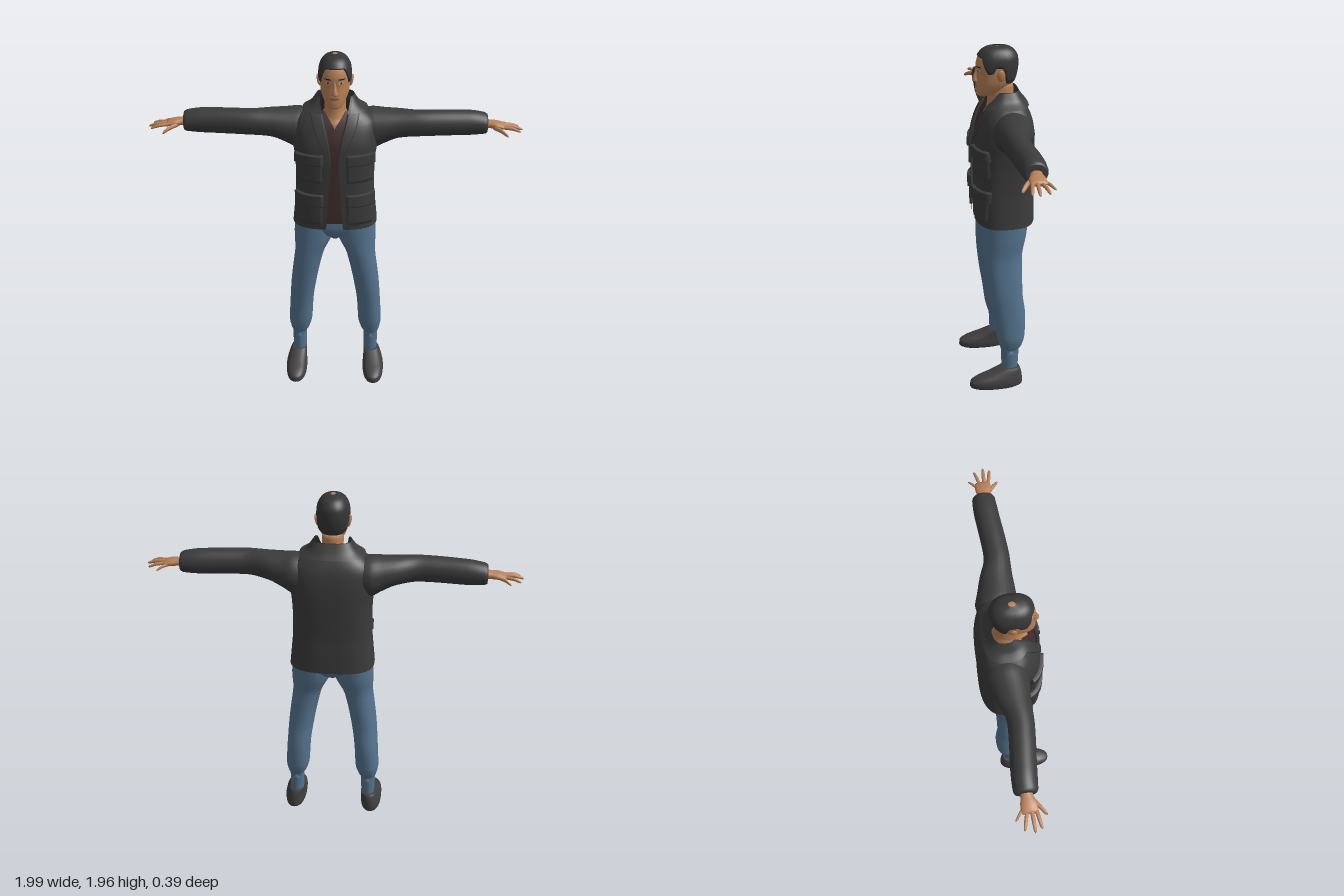
import * as THREE from 'three';

const paint = (name, color, side = THREE.FrontSide) => {
  const m = new THREE.MeshStandardMaterial({ color, side });
  m.name = name;
  return m;
};

// Monotone smooth interpolation of a table of cross-sections keyed by column 0
function sample(rows, k) {
  let i = 0;
  while (i < rows.length - 2 && k > rows[i + 1][0]) i++;
  const a = rows[i], b = rows[i + 1], h = b[0] - a[0];
  const f = THREE.MathUtils.clamp((k - a[0]) / h, 0, 1);
  const slope = (j, c) => (rows[j + 1][c] - rows[j][c]) / (rows[j + 1][0] - rows[j][0]);
  const tangent = (j, c) => {
    if (j === 0) return slope(0, c);
    if (j === rows.length - 1) return slope(j - 1, c);
    const p = slope(j - 1, c), q = slope(j, c);
    return p * q <= 0 ? 0 : (2 * p * q) / (p + q);
  };
  return a.map((v, c) => c === 0 ? k
    : v * (1 + 2 * f) * (1 - f) ** 2 + b[c] * f * f * (3 - 2 * f)
      + h * f * (1 - f) * (tangent(i, c) * (1 - f) - tangent(i + 1, c) * f));
}

// Surface through a grid of points; wrapped surfaces can be capped at both ends
function grid(nu, nv, point, wrap = false, caps = false) {
  const pos = [], idx = [], cols = wrap ? nu : nu + 1;
  for (let j = 0; j <= nv; j++) for (let i = 0; i < cols; i++) pos.push(...point(i, j));
  for (let j = 0; j < nv; j++) for (let i = 0; i < nu; i++) {
    const a = j * cols + i, b = j * cols + (i + 1) % cols;
    idx.push(a, b, b + cols, a, b + cols, a + cols);
  }
  if (caps) for (const j of [0, nv]) {
    const centre = [0, 0, 0], c = pos.length / 3;
    for (let i = 0; i < cols; i++) for (let k = 0; k < 3; k++) centre[k] += pos[(j * cols + i) * 3 + k] / cols;
    pos.push(...centre);
    for (let i = 0; i < cols; i++) {
      const a = j * cols + i, b = j * cols + (i + 1) % cols;
      idx.push(...(j ? [c, a, b] : [c, b, a]));
    }
  }
  const g = new THREE.BufferGeometry();
  g.setAttribute('position', new THREE.Float32BufferAttribute(pos, 3));
  g.setIndex(idx);
  g.computeVertexNormals();
  return g;
}

function mirror(geo) {
  const g = geo.clone().scale(-1, 1, 1), ix = g.index.array;
  for (let i = 0; i < ix.length; i += 3) [ix[i], ix[i + 1]] = [ix[i + 1], ix[i]];
  g.computeVertexNormals();
  return g;
}

const pow = (v, n) => Math.sign(v) * Math.abs(v) ** (2 / n);
const stations = (rows, sub = 4) => rows.slice(1).reduce((out, r, i) => {
  for (let s = 1; s <= sub; s++) out.push(rows[i][0] + (r[0] - rows[i][0]) * s / sub);
  return out;
}, [rows[0][0]]);

// Upright section row: [y, xCentre, xRadius, zBack, zFront]
function ringPoint([y, xc, rx, zb, zf], t, n, off = 0) {
  return [xc + (rx + off) * pow(Math.sin(t), n), y,
    (zb + zf) / 2 + ((zf - zb) / 2 + off) * pow(Math.cos(t), n)];
}
function column(rows, n = 2, seg = 32) {
  const ks = stations(rows);
  return grid(seg, ks.length - 1, (i, j) => ringPoint(sample(rows, ks[j]), i / seg * Math.PI * 2, n), true, true);
}
// Sideways section row: [x, yCentre, zCentre, yRadius, zRadius]
function limb(rows, seg = 20) {
  const ks = stations(rows);
  return grid(seg, ks.length - 1, (i, j) => {
    const [x, y, z, ry, rz] = sample(rows, ks[j]), t = i / seg * Math.PI * 2;
    return [x, y + ry * Math.cos(t), z + rz * Math.sin(t)];
  }, true, true);
}
const angleAt = (r, x, n) => Math.sign(x) * Math.asin(Math.min(1, Math.abs(x / r[2])) ** (n / 2));
// Garment open at the front by gap(row) on each side
function garment(rows, n, y0, y1, off, gap) {
  const nu = 56, nv = 36;
  return grid(nu, nv, (i, j) => {
    const r = sample(rows, y0 + (y1 - y0) * j / nv), t = angleAt(r, gap(r), n);
    return ringPoint(r, t + (Math.PI * 2 - 2 * t) * i / nu, n, off(r[0]));
  });
}
// Raised panel on the front of a surface
function panel(rows, n, y0, y1, xa, xb, off) {
  const N = 12, step = i => THREE.MathUtils.clamp((i - 1) / (N - 2), 0, 1);
  return grid(N, N, (i, j) => {
    const r = sample(rows, y0 + (y1 - y0) * step(j)), a = xa(r), b = xb(r);
    const edge = i === 0 || j === 0 || i === N || j === N;
    return ringPoint(r, angleAt(r, a + (b - a) * step(i), n), n, edge ? -0.003 : off);
  });
}

const HEAD = [[1.688, 0, .022, .05, .1], [1.70, 0, .042, .0, .115], [1.73, 0, .06, -.05, .117],
  [1.77, 0, .074, -.085, .114], [1.81, 0, .079, -.097, .111], [1.85, 0, .081, -.103, .114],
  [1.89, 0, .077, -.102, .106], [1.92, 0, .064, -.087, .088], [1.942, 0, .04, -.058, .058], [1.951, 0, .006, -.01, .01]];
const HAIRLINE = [[0, 1.9], [.6, 1.898], [.85, 1.86], [1.1, 1.815], [1.35, 1.82], [1.5, 1.85], [1.75, 1.845], [2.05, 1.765], [3.15, 1.742]];
// The last column is half the width of the front opening
const JACKET = [[1.0, 0, .232, -.19, .135, .046], [1.1, 0, .222, -.19, .14, .04], [1.2, 0, .214, -.187, .14, .034],
  [1.3, 0, .213, -.19, .14, .026], [1.4, 0, .218, -.192, .14, .022], [1.48, 0, .228, -.19, .133, .03],
  [1.55, 0, .226, -.182, .112, .044], [1.6, 0, .212, -.168, .09, .058], [1.64, 0, .168, -.147, .066, .066],
  [1.68, 0, .118, -.123, .045, .074], [1.722, 0, .098, -.105, .02, .082]];
const LEG = [[.13, .21, .036, -.08, .01], [.245, .209, .042, -.088, .016], [.262, .207, .052, -.102, .022],
  [.33, .202, .067, -.121, .04], [.45, .195, .067, -.125, .056], [.6, .179, .072, -.11, .08],
  [.8, .145, .081, -.112, .1], [.92, .119, .109, -.138, .102], [1.04, .112, .112, -.152, .1]];

export function createModel() {
  const D = THREE.DoubleSide;
  const cloth = paint('charcoal jacket', 0x3b3b3b, D), shirt = paint('maroon shirt', 0x402d2e, D);
  const denim = paint('blue denim', 0x55738e), skin = paint('skin', 0xb98159);
  const hair = paint('dark hair', 0x363636, D), leather = paint('dark shoe', 0x413f3f);
  const lip = paint('lips', 0x8a5848), white = paint('eye white', 0xc9c2ba), black = paint('dark features', 0x2a2220);
  const model = new THREE.Group();
  model.name = 'standingMan';
  const add = (name, geo, mat, parent = model) => {
    const m = new THREE.Mesh(geo, mat);
    m.name = name;
    parent.add(m);
  };
  const pair = (name, geo, mat, parent) => {
    add('left' + name, geo, mat, parent);
    add('right' + name, mirror(geo), mat, parent);
  };
  const group = name => {
    const g = new THREE.Group();
    g.name = name;
    model.add(g);
    return g;
  };

  // Head, neck, ears and nose
  const head = group('head');
  add('face', column(HEAD, 2.2, 40), skin, head);
  add('neck', column([[1.5, 0, .11, -.11, .085], [1.58, 0, .092, -.105, .08], [1.62, 0, .07, -.095, .06],
    [1.66, 0, .056, -.088, .054], [1.76, 0, .057, -.084, .05]]), skin, head);
  add('nose', column([[1.763, 0, .012, .09, .117], [1.773, 0, .019, .09, .133], [1.787, 0, .014, .09, .132],
    [1.815, 0, .009, .09, .122], [1.845, 0, .007, .09, .113]], 2, 16), skin, head);
  const ear = new THREE.SphereGeometry(1, 16, 12).scale(.009, .032, .02).rotateZ(-.2).translate(.086, 1.812, -.004);
  pair('Ear', ear, skin, head);

  // Short hair following the skull down to the hairline
  add('hair', grid(64, 18, (i, j) => {
    const t = i / 64 * Math.PI * 2, low = sample(HAIRLINE, Math.min(t, Math.PI * 2 - t))[1];
    const y = low + (1.951 - low) * Math.sin(j / 18 * Math.PI / 2), p = ringPoint(sample(HEAD, y), t, 2.2, j ? .007 : -.002);
    p[1] += j ? .005 * j / 18 : 0;
    return p;
  }, true), hair, head);

  // Painted face details
  const facePatch = (cx, cy, rx, ry, off) => grid(20, 2, (i, j) => {
    const t = -i / 20 * Math.PI * 2, f = j / 2, r = sample(HEAD, cy + ry * f * Math.sin(-t));
    return ringPoint(r, angleAt(r, cx + rx * f * Math.cos(t), 2.2), 2.2, off);
  }, true);
  const flip = g => {
    g.index.array.reverse();
    g.computeVertexNormals();
    return g;
  };
  const detail = (...a) => flip(facePatch(...a));
  pair('Eye', detail(.033, 1.832, .013, .0055, .0015), white, head);
  pair('Iris', detail(.033, 1.832, .005, .005, .0025), black, head);
  pair('Brow', detail(.035, 1.852, .018, .0035, .002), black, head);
  add('mouth', detail(0, 1.748, .024, .007, .002), lip, head);

  // Jacket body, collar, lapels and pockets
  const jacket = group('jacket');
  add('jacketBody', garment(JACKET, 2.8, 1.0, 1.722, () => 0, r => r[5]), cloth, jacket);
  add('collar', garment(JACKET, 2.8, 1.65, 1.725, y => .002 + .016 * (1.725 - y) / .075, r => r[5] + .004), cloth, jacket);
  const lapel = r => r[5] + .055 * THREE.MathUtils.smoothstep(r[0], 1.34, 1.58);
  pair('Lapel', panel(JACKET, 2.8, 1.34, 1.645, r => r[5] - .002, lapel, .009), cloth, jacket);
  for (const [name, y0, y1, flap] of [['Chest', 1.285, 1.43, 1.385], ['Hip', 1.035, 1.2, 1.145]]) {
    pair(name + 'Pocket', panel(JACKET, 2.8, y0, y1, () => .065, () => .195, .009), cloth, jacket);
    pair(name + 'PocketFlap', panel(JACKET, 2.8, flap, y1 + .012, () => .06, () => .2, .018), cloth, jacket);
  }
  pair('Sleeve', limb([[.1, 1.54, -.05, .085, .085], [.2, 1.532, -.052, .112, .11], [.26, 1.545, -.045, .096, .1],
    [.34, 1.562, -.036, .078, .085], [.45, 1.569, -.018, .071, .067], [.55, 1.57, -.024, .07, .066],
    [.7, 1.568, -.038, .068, .065], [.79, 1.564, -.042, .058, .061], [.808, 1.562, -.042, .05, .053],
    [.81, 1.562, -.042, .03, .035]], 28), cloth, jacket);

  // Shirt with a V neck
  add('shirt', garment(JACKET, 2.8, 1.03, 1.655, () => -.014, r => Math.max(0, r[0] - 1.575) * .75), shirt);

  // Hands with tapering fingers
  const hands = group('hands');
  pair('Palm', limb([[.79, 1.562, -.042, .024, .03], [.82, 1.56, -.04, .022, .031], [.86, 1.557, -.036, .02, .042],
    [.895, 1.552, -.036, .014, .042], [.905, 1.55, -.036, .006, .034]]), skin, hands);
  for (const [name, x0, y0, z0, x1, y1, z1, r] of [
    ['Thumb', .84, 1.55, -.01, .915, 1.522, .045, .012], ['IndexFinger', .885, 1.552, -.006, .982, 1.536, .012, .0095],
    ['MiddleFinger', .89, 1.553, -.027, .997, 1.536, -.022, .0095], ['RingFinger', .885, 1.551, -.048, .982, 1.535, -.072, .009],
    ['LittleFinger', .865, 1.55, -.06, .93, 1.532, -.108, .0085]]) {
    const mix = (f, s) => [x0 + (x1 - x0) * f, y0 + (y1 - y0) * f + .006 * Math.sin(f * Math.PI), z0 + (z1 - z0) * f, r * s, r * s];
    pair(name, limb([mix(0, 1), mix(.5, 1), mix(.9, .75), mix(1, .25)], 12), skin, hands);
  }

  // Trousers
  const jeans = group('jeans');
  pair('Leg', column(LEG, 2.2), denim, jeans);
  add('seat', column([[.905, 0, .03, -.07, .06], [.94, 0, .1, -.12, .09], [.99, 0, .19, -.148, .102],
    [1.06, 0, .21, -.15, .1]], 2.3), denim, jeans);
  pair('Ankle', column([[.09, .21, .037, -.08, .01], [.25, .209, .042, -.088, .016]]), denim, jeans);

  // Shoes with blue sole plates
  const shoes = group('shoes');
  pair('Shoe', column([[.006, .225, .046, -.088, .178], [.02, .226, .059, -.104, .198], [.045, .226, .061, -.106, .196],
    [.065, .225, .058, -.104, .17], [.09, .221, .052, -.1, .1], [.112, .216, .047, -.094, .045],
    [.126, .212, .042, -.086, .014]], 2.3), leather, shoes);
  pair('SolePlate', column([[0, .225, .028, -.07, .12], [.007, .225, .03, -.075, .13]], 2.2), denim, shoes);
  return model;
}
